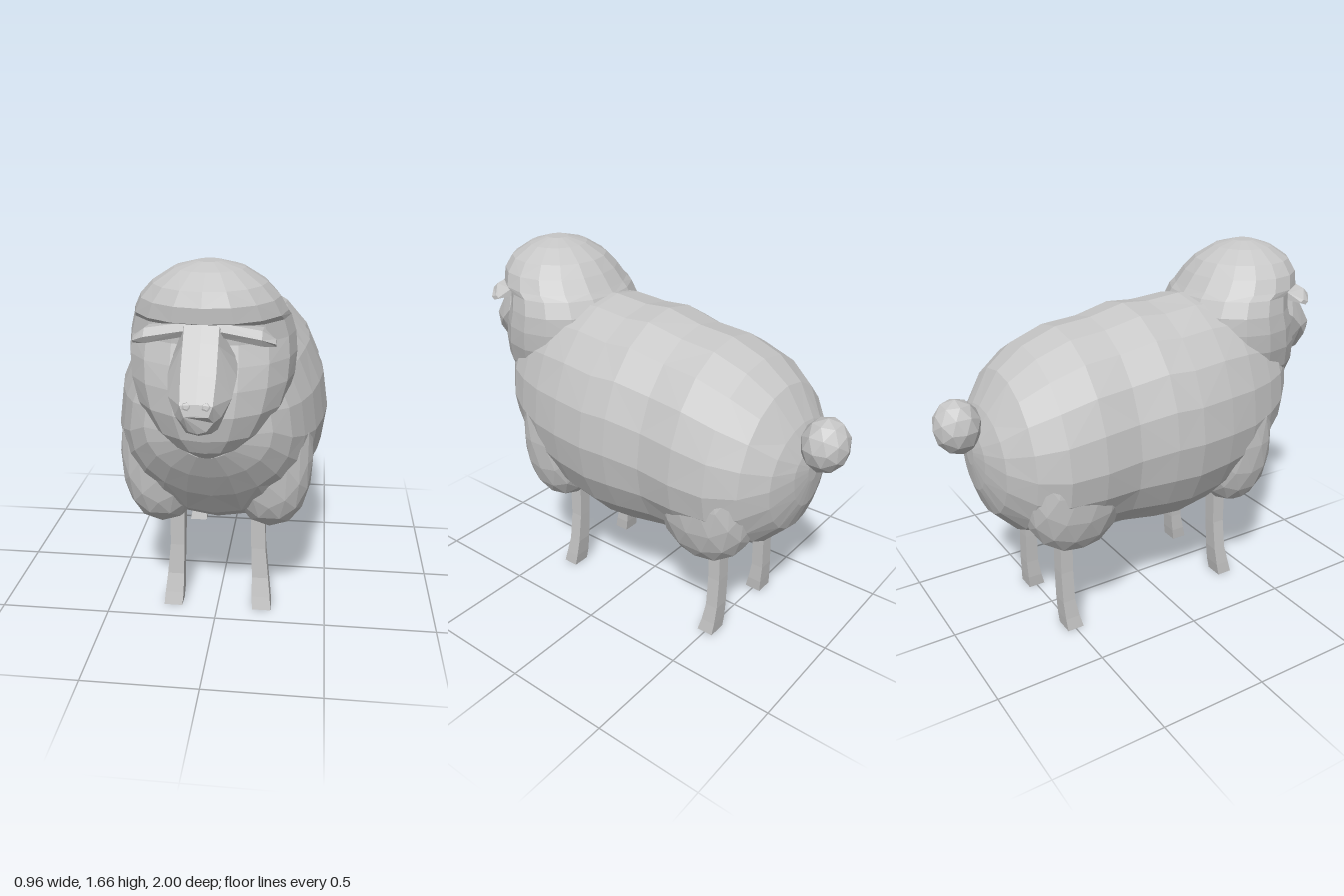
import * as THREE from 'three';

const wool = new THREE.MeshStandardMaterial({ color: 0xc6c6c6, flatShading: true });
wool.name = 'pale grey';

// Skin a list of equal-length rings, close both ends, face outwards.
function loft(rings) {
  const n = rings[0].length, pts = rings.flat(), idx = [];
  for (let r = 0; r < rings.length - 1; r++)
    for (let i = 0; i < n; i++) {
      const a = r * n + i, b = r * n + (i + 1) % n, c = a + n, d = b + n;
      if ((r + i) % 2) idx.push(a, b, d, a, d, c);
      else idx.push(a, b, c, b, d, c);
    }
  const last = (rings.length - 1) * n;
  for (let i = 1; i < n - 1; i++) {
    idx.push(0, i + 1, i);
    idx.push(last, last + i, last + i + 1);
  }
  const v = pts.map(p => new THREE.Vector3(...p));
  let volume = 0;
  for (let i = 0; i < idx.length; i += 3)
    volume += v[idx[i]].dot(v[idx[i + 1]].clone().cross(v[idx[i + 2]]));
  if (volume < 0) idx.reverse();
  const g = new THREE.BufferGeometry().setFromPoints(v);
  g.setIndex(idx);
  const flat = g.toNonIndexed();
  flat.computeVertexNormals();
  return flat;
}

// Ring of n points made by a function of the angle.
const ring = (n, f) => Array.from({ length: n }, (_, i) => f(i / n * Math.PI * 2));

// Slightly squared faceted ball.
function lobe(rx, ry, rz) {
  const g = new THREE.IcosahedronGeometry(1, 2), p = g.attributes.position;
  const fat = v => Math.sign(v) * Math.abs(v) ** 0.88;
  for (let i = 0; i < p.count; i++)
    p.setXYZ(i, rx * fat(p.getX(i)), ry * fat(p.getY(i)), rz * fat(p.getZ(i)));
  g.computeVertexNormals();
  return g;
}

export function createModel() {
  const model = new THREE.Group();
  model.name = 'sheep';
  const add = (name, geometry, pos = [0, 0, 0]) => {
    const m = new THREE.Mesh(geometry, wool);
    m.name = name;
    m.position.set(...pos);
    model.add(m);
    return m;
  };

  // Fleece body: z, bottom, widest height, top, half width
  const body = [
    [-0.85, 0.84, 0.9, 0.94, 0.04], [-0.835, 0.72, 0.9, 1.0, 0.13], [-0.79, 0.6, 0.88, 1.1, 0.25],
    [-0.7, 0.51, 0.86, 1.24, 0.355], [-0.58, 0.47, 0.86, 1.33, 0.43], [-0.42, 0.45, 0.87, 1.39, 0.45],
    [-0.25, 0.42, 0.88, 1.405, 0.44], [-0.08, 0.39, 0.9, 1.445, 0.47], [0.05, 0.38, 0.9, 1.435, 0.478],
    [0.22, 0.41, 0.9, 1.45, 0.46], [0.37, 0.46, 0.9, 1.44, 0.43], [0.5, 0.54, 0.92, 1.4, 0.385],
    [0.6, 0.67, 0.95, 1.36, 0.335], [0.68, 0.79, 1.0, 1.28, 0.26], [0.74, 0.9, 1.0, 1.15, 0.12],
  ];
  add('body', loft(body.map(([z, lo, mid, hi, w]) => ring(20, t => {
    const s = Math.sin(t);
    return [w * Math.cos(t), mid + s * (s > 0 ? hi - mid : mid - lo), z];
  }))));

  // Head and neck fleece with a forehead ridge: y, back z, front z, half width
  const head = [
    [1.66, 0.54, 0.64, 0.05], [1.635, 0.45, 0.72, 0.14], [1.58, 0.36, 0.805, 0.225],
    [1.525, 0.31, 0.832, 0.275], [1.465, 0.265, 0.828, 0.305], [1.44, 0.245, 0.77, 0.315],
    [1.37, 0.21, 0.77, 0.335], [1.29, 0.2, 0.8, 0.342], [1.2, 0.2, 0.825, 0.335],
    [1.1, 0.24, 0.835, 0.305], [1.0, 0.34, 0.815, 0.24], [0.94, 0.45, 0.785, 0.16], [0.905, 0.56, 0.75, 0.07],
  ];
  add('headWool', loft(head.map(([y, b, f, w]) =>
    ring(16, t => [w * Math.cos(t), y, (b + f) / 2 + (f - b) / 2 * Math.sin(t)]))));

  // Brow band with drooping tips: x, top, bottom, front z, back z
  const brow = [[0.27, 1.4, 1.375, 0.785, 0.74], [0.22, 1.44, 1.385, 0.825, 0.7], [0.07, 1.465, 1.415, 0.83, 0.7]];
  const section = s => ([x, hi, lo, f, b]) =>
    [[s * x, hi, f - 0.03], [s * x, (hi + lo) / 2, f], [s * x, lo, f - 0.015], [s * x, lo + 0.01, b], [s * x, hi - 0.01, b]];
  add('brow', loft([...brow.map(section(-1)), ...brow.map(section(1)).reverse()]));

  // Long face: ridge y and z, ridge half width, cheek half width, chin y and z
  const face = [
    [1.46, 0.825, 0.065, 0.125, 1.1, 0.7], [1.4, 0.865, 0.065, 0.13, 1.08, 0.82],
    [1.3, 0.932, 0.065, 0.118, 1.075, 0.89], [1.21, 0.992, 0.06, 0.085, 1.075, 0.935],
    [1.17, 1.0, 0.045, 0.06, 1.095, 0.972],
  ];
  add('face', loft(face.map(([y, z, w, c, cy, cz]) => {
    const my = y * 0.6 + cy * 0.4, mz = z * 0.6 + cz * 0.4 - 0.02;
    return [[-w, y, z], [0, y + 0.006, z], [w, y, z], [c, my, mz],
      [c * 0.55, cy + 0.01, cz], [0, cy, cz], [-c * 0.55, cy + 0.01, cz], [-c, my, mz]];
  })));

  for (const s of [1, -1]) {
    const side = s > 0 ? 'left' : 'right';

    // Nostrils
    const nostril = add(side + 'Nostril', new THREE.TorusGeometry(0.014, 0.005, 4, 5), [s * 0.036, 1.208, 0.99]);
    nostril.rotation.x = -0.6;

    // Woolly tops of the legs, sunk into the body
    add(side + 'Shoulder', lobe(0.185, 0.34, 0.185), [s * 0.24, 0.785, 0.375]);
    add(side + 'Haunch', lobe(0.185, 0.34, 0.24), [s * 0.235, 0.78, -0.49]);

    // Thin square legs: y, inner x, outer x, back z, front z
    const leg = rows => loft(rows.map(([y, i, o, b, f]) =>
      [[s * i, y, b], [s * o, y, b], [s * o, y, f], [s * i, y, f]]));
    add(side + 'FrontLeg', leg([
      [0.52, 0.15, 0.215, 0.305, 0.375], [0.3, 0.155, 0.22, 0.31, 0.37],
      [0.15, 0.16, 0.235, 0.315, 0.375], [0.06, 0.16, 0.245, 0.325, 0.395], [0, 0.165, 0.25, 0.335, 0.41],
    ]));
    add(side + 'HindLeg', leg([
      [0.52, 0.15, 0.22, -0.545, -0.485], [0.3, 0.155, 0.225, -0.55, -0.49],
      [0.15, 0.16, 0.235, -0.55, -0.49], [0.06, 0.16, 0.245, -0.545, -0.475], [0, 0.165, 0.255, -0.54, -0.46],
    ]));
  }

  // Round tail
  const tail = new THREE.IcosahedronGeometry(1, 1);
  tail.scale(0.115, 0.122, 0.105);
  add('tail', tail, [0, 1.03, -0.895]);

  return model;
}
